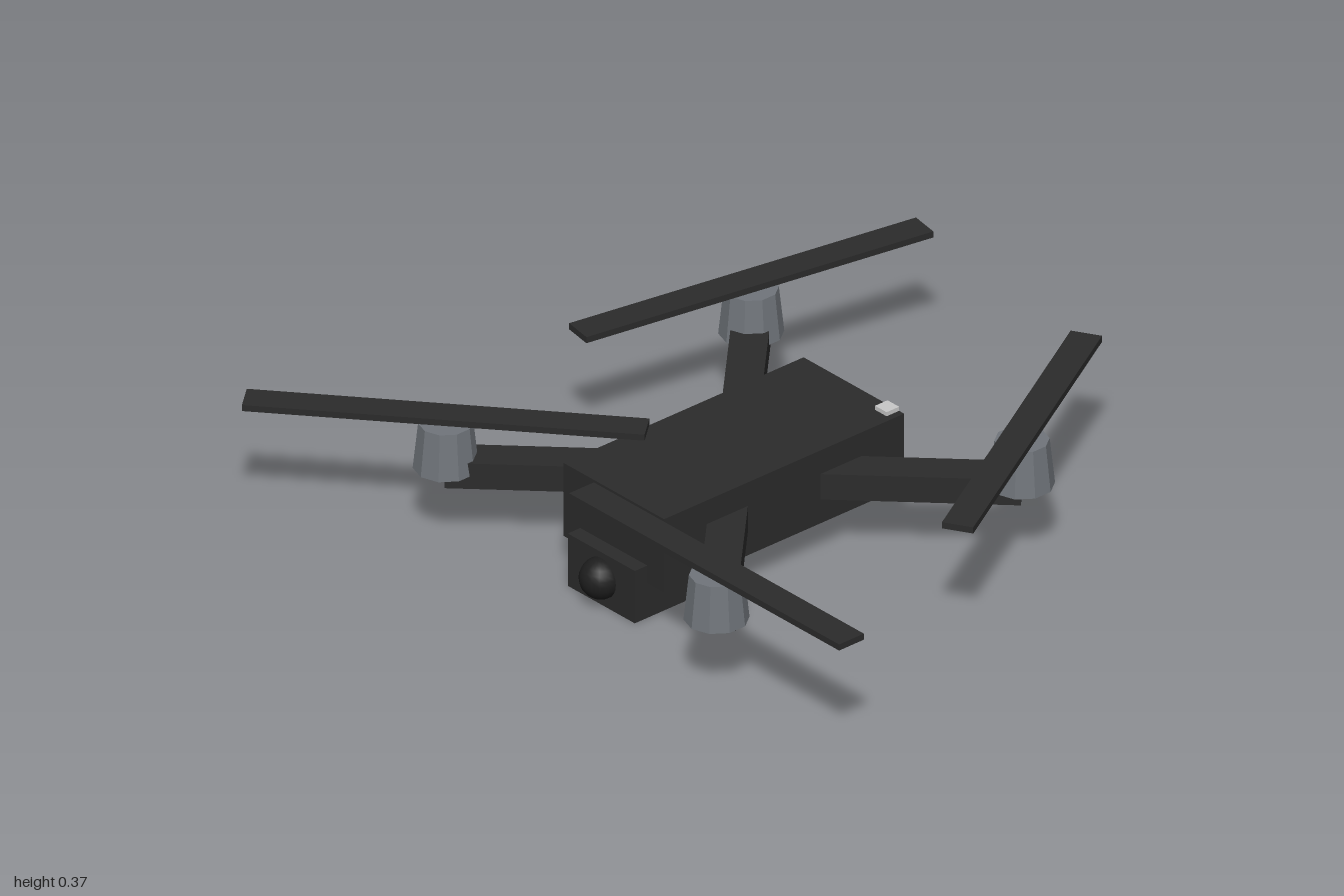
import * as THREE from 'three';

export function createModel() {
  const drone = new THREE.Group();
  drone.name = 'drone';

  const shell = new THREE.MeshStandardMaterial({ color: 0x2b2b2b });
  shell.name = 'charcoal shell';
  const metal = new THREE.MeshStandardMaterial({ color: 0x70757b });
  metal.name = 'motor grey';
  const glass = new THREE.MeshStandardMaterial({ color: 0x1e1e1e });
  glass.name = 'lens black';
  const lamp = new THREE.MeshStandardMaterial({ color: 0xc8c8c8 });
  lamp.name = 'lamp grey';

  function add(parent, name, geometry, material, x, y, z) {
    const mesh = new THREE.Mesh(geometry, material);
    mesh.name = name;
    mesh.position.set(x, y, z);
    parent.add(mesh);
    return mesh;
  }

  // Faceted copy of a geometry
  function faceted(geometry) {
    const flat = geometry.toNonIndexed();
    flat.computeVertexNormals();
    return flat;
  }

  const cx = -0.05, cz = 0.075; // body centre
  const reach = 0.525; // motor offset along x and z

  // Fuselage and rear status light
  add(drone, 'body', new THREE.BoxGeometry(0.39, 0.216, 0.825), shell, cx, 0.212, cz);
  add(drone, 'statusLight', new THREE.BoxGeometry(0.045, 0.02, 0.043), lamp, 0.103, 0.322, -0.316);

  // Camera slung under the nose
  const camera = new THREE.Group();
  camera.name = 'camera';
  drone.add(camera);
  add(camera, 'cameraHousing', new THREE.BoxGeometry(0.26, 0.155, 0.213), shell, cx, 0.0775, 0.424);
  add(camera, 'cameraLens', new THREE.SphereGeometry(0.057, 16, 12), glass, cx, 0.081, 0.533);

  // Four diagonal arms, each with a tapered motor and a turned blade
  const armGeometry = new THREE.BoxGeometry(0.6, 0.075, 0.1);
  const motorGeometry = faceted(new THREE.CylinderGeometry(0.0715, 0.0855, 0.131, 10));
  const bladeGeometry = new THREE.BoxGeometry(1.047, 0.018, 0.085);
  const rotors = [
    { name: 'frontLeft', sx: 1, sz: 1, turn: 0 },
    { name: 'frontRight', sx: -1, sz: 1, turn: 40 },
    { name: 'backRight', sx: -1, sz: -1, turn: 80 },
    { name: 'backLeft', sx: 1, sz: -1, turn: 120 },
  ];
  for (const { name, sx, sz, turn } of rotors) {
    const rotor = new THREE.Group();
    rotor.name = name + 'Rotor';
    rotor.position.set(cx + sx * reach, 0, cz + sz * reach);
    drone.add(rotor);
    const inset = 0.3 * Math.SQRT1_2; // arm ends on the motor axis
    const arm = add(rotor, 'arm', armGeometry, shell, -sx * inset, 0.2125, -sz * inset);
    arm.rotation.y = -sx * sz * Math.PI / 4;
    add(rotor, 'motor', motorGeometry, metal, 0, 0.277, 0);
    const blade = add(rotor, 'blade', bladeGeometry, shell, 0, 0.364, 0);
    blade.rotation.y = THREE.MathUtils.degToRad(turn);
  }

  return drone;
}
